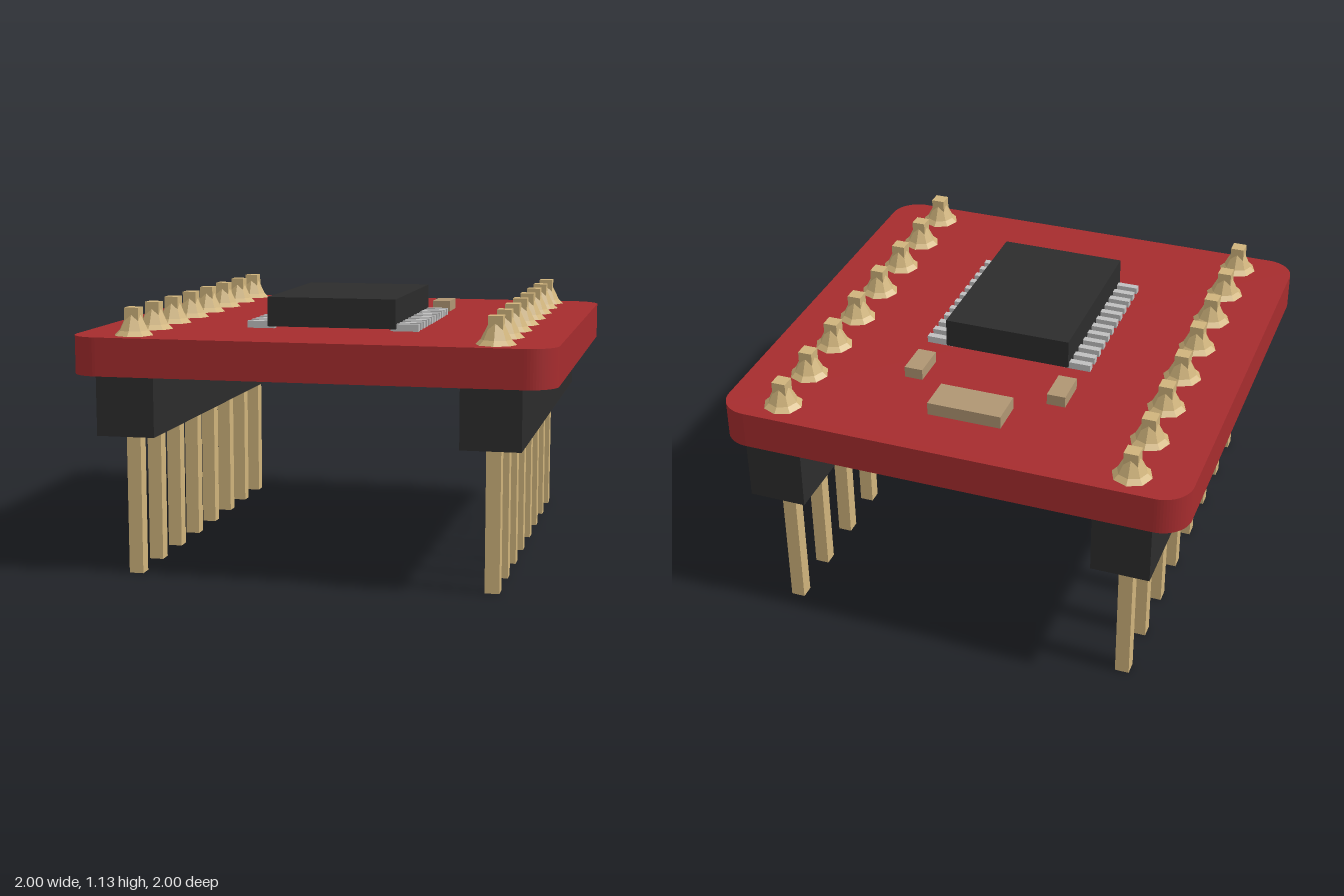
import * as THREE from 'three';

const material = (name, color) => {
  const m = new THREE.MeshStandardMaterial({ color });
  m.name = name;
  return m;
};

export function createModel() {
  const red = material('board red', 0xa62c2e);
  const black = material('plastic black', 0x2c2c2c);
  const gold = material('pin gold', 0xd0b47c);
  const silver = material('lead silver', 0xc0c0c0);
  const tan = material('capacitor tan', 0xb09673);

  const model = new THREE.Group();
  model.name = 'breakoutBoard';

  const add = (name, geometry, mat, x = 0, y = 0, z = 0) => {
    const mesh = new THREE.Mesh(geometry, mat);
    mesh.name = name;
    mesh.position.set(x, y, z);
    model.add(mesh);
    return mesh;
  };
  // Box standing on height y
  const box = (name, mat, w, h, d, x, y, z) =>
    add(name, new THREE.BoxGeometry(w, h, d), mat, x, y + h / 2, z);

  // Circuit board with rounded corners
  const r = 0.125, s = 1 - r;
  const outline = new THREE.Shape();
  outline.absarc(s, s, r, 0, Math.PI / 2);
  outline.absarc(-s, s, r, Math.PI / 2, Math.PI);
  outline.absarc(-s, -s, r, Math.PI, Math.PI * 1.5);
  outline.absarc(s, -s, r, Math.PI * 1.5, Math.PI * 2);
  const boardGeo = new THREE.ExtrudeGeometry(outline, { depth: 0.16, bevelEnabled: false, curveSegments: 8 });
  boardGeo.rotateX(-Math.PI / 2);
  add('board', boardGeo, red, 0, 0.84, 0);

  // Flared eight-sided solder joint
  const profile = [[0.083, 0], [0.062, 0.02], [0.03, 0.085]].map(([x, y]) => new THREE.Vector2(x, y));
  const solderGeo = new THREE.LatheGeometry(profile, 8).toNonIndexed();
  solderGeo.computeVertexNormals();

  // Header strips, pins and solder joints on both sides
  for (const side of [-1, 1]) {
    const x = side * 0.75;
    box('headerStrip', black, 0.245, 0.245, 2, x, 0.595, 0);
    for (let i = 0; i < 8; i++) {
      const z = -0.875 + i * 0.25;
      box('pin', gold, 0.06, 1.115, 0.06, x, 0, z);
      add('solderJoint', solderGeo, gold, x, 1, z);
    }
  }

  // Chip and its two rows of leads
  box('chip', black, 0.555, 0.125, 0.765, 0, 1.01, 0.147);
  for (const side of [-1, 1]) {
    for (let i = 0; i < 12; i++) {
      box('chipLead', silver, 0.12, 0.03, 0.03, side * 0.312, 1, -0.207 + i * 0.064);
    }
    box('smallCapacitor', tan, 0.08, 0.048, 0.155, side * 0.317, 1, -0.438);
  }
  box('largeCapacitor', tan, 0.318, 0.055, 0.155, 0, 1, -0.672);

  return model;
}
